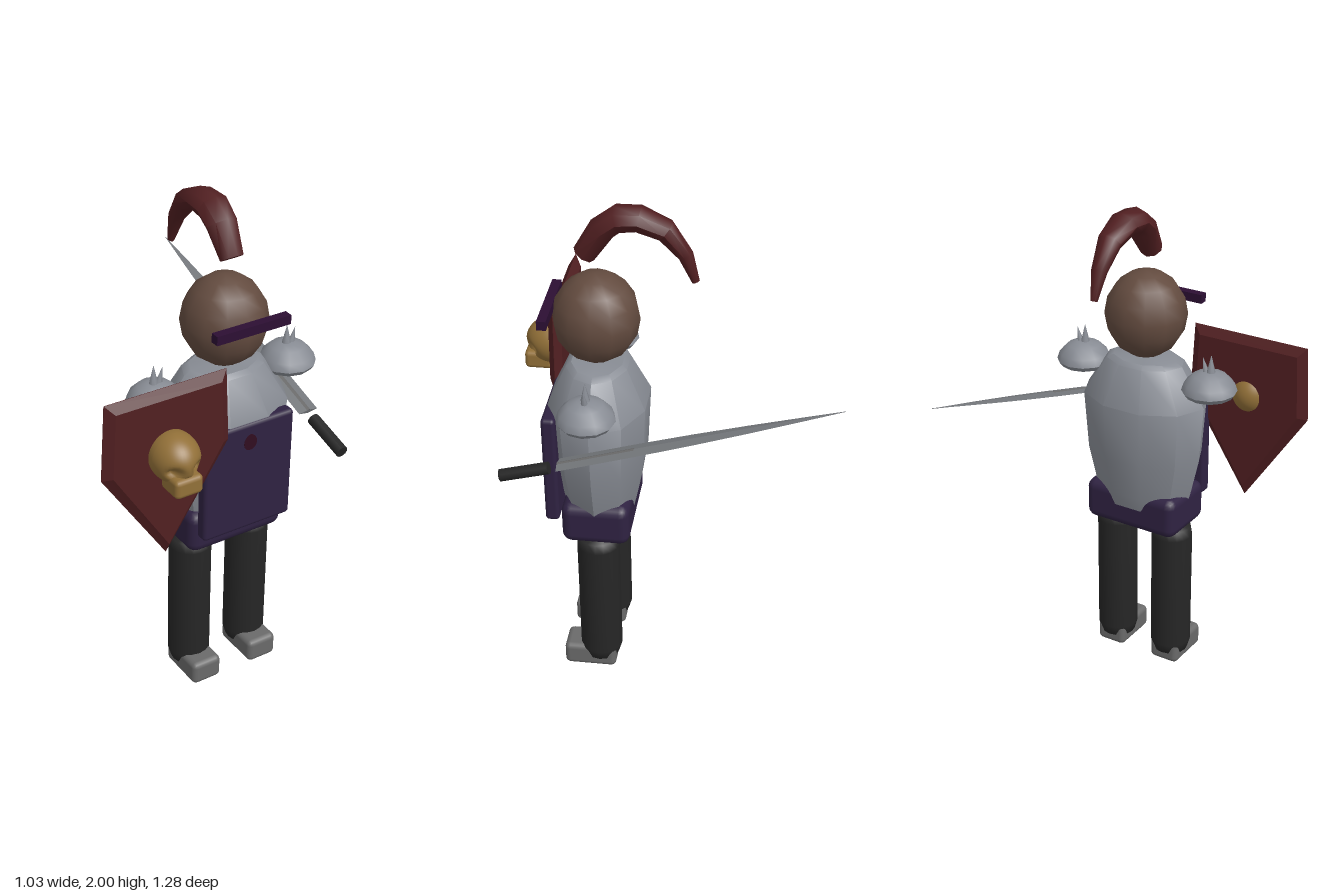
import * as THREE from 'three';
import { toCreasedNormals } from 'three/addons/utils/BufferGeometryUtils.js';
import { RoundedBoxGeometry } from 'three/addons/geometries/RoundedBoxGeometry.js';

const paint = (name, color) => {
  const m = new THREE.MeshStandardMaterial({ color });
  m.name = name;
  return m;
};

// Tube along a path in the y-z plane; each station is [y, z, halfWidth, halfThickness]
function sweep(stations, sides, crease) {
  const pos = [], index = [], n = stations.length;
  const X = new THREE.Vector3(1, 0, 0);
  const at = (i) => new THREE.Vector3(0, stations[i][0], stations[i][1]);
  stations.forEach(([, , w, t], i) => {
    const tangent = at(Math.min(i + 1, n - 1)).sub(at(Math.max(i - 1, 0))).normalize();
    const B = tangent.clone().cross(X);
    for (let j = 0; j < sides; j++) {
      const a = (j / sides) * Math.PI * 2;
      const p = at(i).addScaledVector(X, w * Math.cos(a)).addScaledVector(B, t * Math.sin(a));
      pos.push(p.x, p.y, p.z);
    }
  });
  const first = n * sides, last = first + 1;
  pos.push(...at(0).toArray(), ...at(n - 1).toArray());
  for (let j = 0; j < sides; j++) {
    const k = (j + 1) % sides;
    for (let i = 0; i < n - 1; i++) {
      const a = i * sides + j, b = i * sides + k;
      index.push(a, b, b + sides, a, b + sides, a + sides);
    }
    index.push(first, k, j, last, (n - 1) * sides + j, (n - 1) * sides + k);
  }
  const g = new THREE.BufferGeometry();
  g.setAttribute('position', new THREE.Float32BufferAttribute(pos, 3));
  g.setIndex(index);
  return toCreasedNormals(g, crease);
}

const lathe = (profile, sides, start = 0) =>
  new THREE.LatheGeometry(profile.map(([r, y]) => new THREE.Vector2(r, y)), sides, start);

export function createModel() {
  const group = new THREE.Group();
  const armour = paint('armour grey', 0x888c94);
  const skin = paint('skin brown', 0x634b3f);
  const black = paint('black cloth', 0x262626);
  const boot = paint('boot grey', 0x6a6a6a);
  const purple = paint('purple cloth', 0x2f2242);
  const plum = paint('dark plum', 0x2c0f33);
  const maroon = paint('maroon emblem', 0x300d20);
  const red = paint('dark red', 0x511f21);
  const gold = paint('old gold', 0x927038);
  const steel = paint('blade steel', 0x74777b);

  const add = (name, geometry, material, x = 0, y = 0, z = 0, parent = group) => {
    const m = new THREE.Mesh(geometry, material);
    m.name = name;
    m.position.set(x, y, z);
    parent.add(m);
    return m;
  };
  const box = (w, h, d, r) => new RoundedBoxGeometry(w, h, d, 2, r);
  const CX = 0.11, CZ = 0.29;

  // Legs and boots
  const legGeo = lathe([[0, 0.025], [0.045, 0.025], [0.072, 0.045], [0.085, 0.09],
    [0.085, 0.6], [0.078, 0.64], [0, 0.66]], 16);
  for (const [side, x] of [['right', -0.022], ['left', 0.244]]) {
    add(side + 'Leg', legGeo, black, x, 0, CZ);
    add(side + 'Boot', box(0.13, 0.1, 0.21, 0.022), boot, x, 0.05, 0.33);
  }

  // Torso: squashed ten-sided breastplate
  const torso = lathe([[0, 0.74], [0.195, 0.74], [0.215, 0.8], [0.252, 0.96], [0.27, 1.2],
    [0.168, 1.355], [0.14, 1.37], [0, 1.37]], 10, Math.PI / 10);
  torso.scale(1, 1, 0.72);
  add('torso', toCreasedNormals(torso, 0.62), armour, CX, 0, CZ);

  // Hips and hanging tabard with a small emblem
  add('hips', box(0.42, 0.175, 0.265, 0.04), purple, CX, 0.728, CZ);
  add('tabard', box(0.39, 0.463, 0.055, 0.016), purple, CX, 0.968, 0.456);
  const drop = new THREE.Shape();
  drop.moveTo(0, 0.035);
  drop.bezierCurveTo(0.012, 0.03, 0.028, 0.022, 0.028, -0.004);
  drop.bezierCurveTo(0.028, -0.042, -0.028, -0.042, -0.028, -0.004);
  drop.bezierCurveTo(-0.028, 0.022, -0.012, 0.03, 0, 0.035);
  add('tabardEmblem', new THREE.ExtrudeGeometry(drop, { depth: 0.003, bevelEnabled: false }),
    maroon, CX, 1.12, 0.482);

  // Head and visor bar
  const head = new THREE.SphereGeometry(1, 12, 8);
  head.scale(0.164, 0.177, 0.164);
  add('head', head, skin, CX, 1.547, CZ + 0.003);
  add('visor', new THREE.BoxGeometry(0.315, 0.036, 0.035), plum, CX, 1.583, 0.466);

  // Plume arching to the back
  add('plume', sweep([
    [1.80, 0.33, 0.045, 0.043], [1.905, 0.262, 0.062, 0.05], [1.948, 0.205, 0.066, 0.05],
    [1.952, 0.13, 0.062, 0.046], [1.912, 0.035, 0.05, 0.042], [1.82, -0.035, 0.032, 0.03],
    [1.715, -0.072, 0.013, 0.015]], 8, 0.9), red, CX);

  // Shoulder caps with two spikes each
  const capGeo = toCreasedNormals(lathe([[0, -0.05], [0.095, -0.05], [0.11, -0.03],
    [0.1, 0], [0.066, 0.034], [0.03, 0.046], [0, 0.048]], 12), 0.75);
  for (const [side, x] of [['right', -0.182], ['left', 0.403]]) {
    const pad = new THREE.Group();
    pad.name = side + 'Shoulder';
    pad.position.set(x, 1.318, CZ);
    add('shoulderCap', capGeo, armour, 0, 0, 0, pad);
    add('tallSpike', new THREE.ConeGeometry(0.024, 0.1, 7), armour, -0.006, 0.07, 0, pad);
    add('shortSpike', new THREE.ConeGeometry(0.017, 0.08, 7), armour, 0.022, 0.065, 0, pad)
      .rotation.z = -0.25;
    group.add(pad);
  }

  // Shield: pointed outline, bevelled on both faces
  const outline = new THREE.Shape([[-0.265, 1.165], [0, 0.764], [0.265, 1.168], [0.249, 1.465],
    [-0.249, 1.465]].map(([x, y]) => new THREE.Vector2(x, y)));
  const shieldGeo = new THREE.ExtrudeGeometry(outline, {
    depth: 0.002, bevelThickness: 0.024, bevelSize: 0.035, bevelOffset: -0.035, bevelSegments: 1,
  });
  add('shield', toCreasedNormals(shieldGeo, 0.3), red, -0.254, 0, 0.481);

  // Skull boss: an ellipsoid with sockets pressed into the front
  const skullGeo = new THREE.SphereGeometry(1, 44, 30);
  skullGeo.scale(0.091, 0.095, 0.108);
  const p = skullGeo.attributes.position;
  const dents = [[-0.045, -0.018, 0.021, 0.04], [0.045, -0.018, 0.021, 0.04], [0, -0.055, 0.012, 0.02]];
  for (let i = 0; i < p.count; i++) {
    const x = p.getX(i), y = p.getY(i);
    let z = p.getZ(i);
    if (z > 0) {
      for (const [dx, dy, r, depth] of dents) {
        z -= depth * Math.exp(-((x - dx) ** 2 + (y - dy) ** 2) / (r * r));
      }
      p.setZ(i, z);
    }
  }
  skullGeo.computeVertexNormals();
  add('skull', skullGeo, gold, -0.255, 1.213, 0.537);
  add('skullJaw', box(0.115, 0.075, 0.11, 0.018), gold, -0.255, 1.139, 0.592);

  // Sword: tapering blade, dark root strip and grip, all on one sloping line
  const bladeAt = (z, w, t) => [1.10 + (0.4 - z) * 0.31, z, w, t];
  add('blade', sweep([
    bladeAt(0.395, 0.042, 0.009), bladeAt(0.1, 0.041, 0.008), bladeAt(-0.1, 0.036, 0.007),
    bladeAt(-0.3, 0.026, 0.006), bladeAt(-0.46, 0.015, 0.004), bladeAt(-0.635, 0.001, 0.001),
  ], 4, 0.2), steel, 0.438);
  add('bladeRoot', sweep([bladeAt(0.394, 0.025, 0.0105), bladeAt(0.11, 0.025, 0.0095)], 4, 0.2),
    boot, 0.438);
  add('swordGrip', sweep([[1.036, 0.612, 0.024, 0.024], [1.086, 0.428, 0.024, 0.024]], 10, 0.8),
    black, 0.438);

  return group;
}
